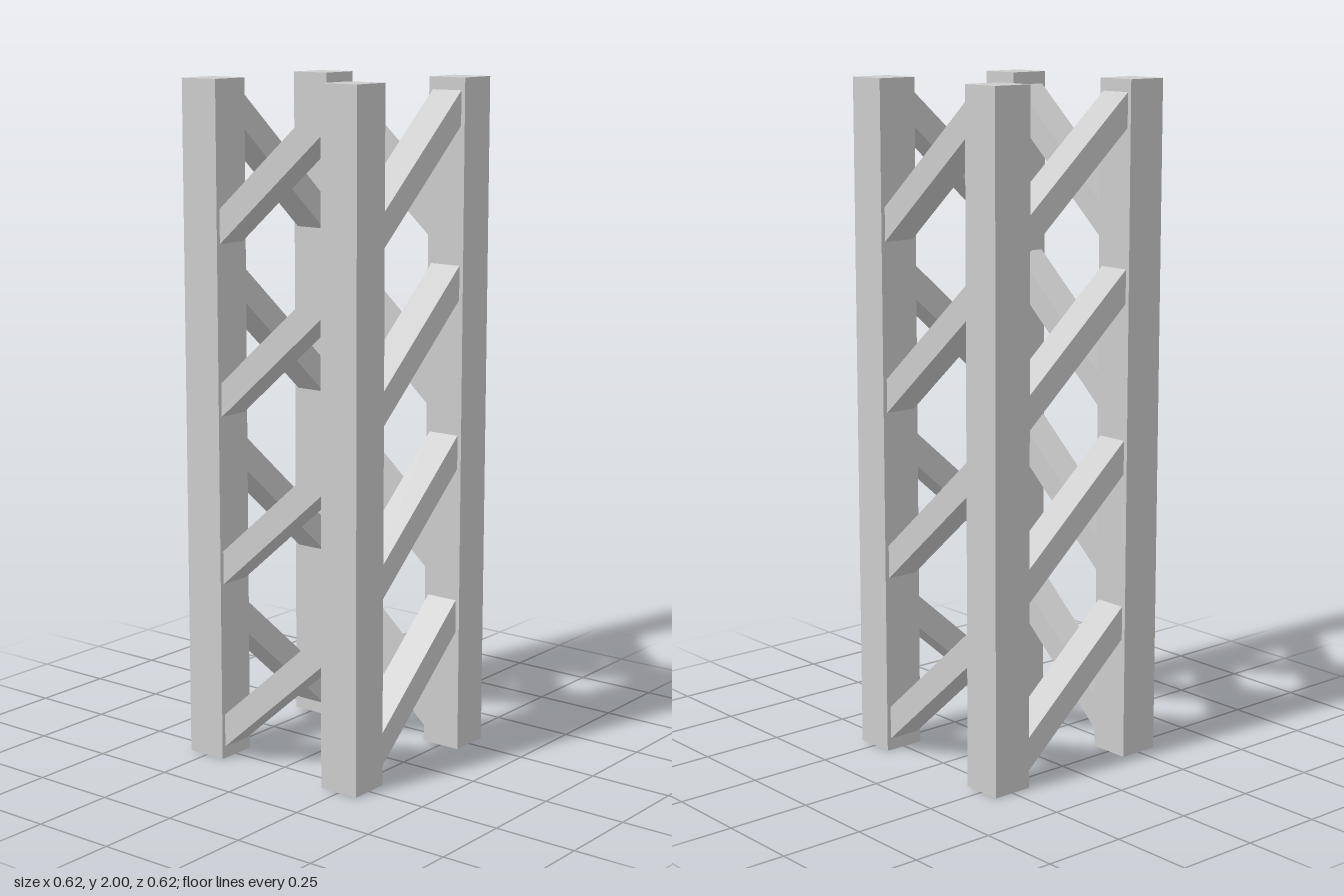
import * as THREE from 'three';

const material = new THREE.MeshStandardMaterial({ color: 0xcccccc, flatShading: true });

function box(name, w, h, d, x, y, z) {
  const mesh = new THREE.Mesh(new THREE.BoxGeometry(w, h, d), material);
  mesh.name = name;
  mesh.position.set(x, y, z);
  return mesh;
}

export function createModel() {
  const tower = new THREE.Group();
  tower.name = 'latticeTower';

  const offset = 0.25; // post centre from the axis
  const bays = 4;
  const bayHeight = 2 / bays;
  const braceAngle = Math.atan(0.875);

  // Four identical sides, each a quarter turn from the last
  ['front', 'left', 'back', 'right'].forEach((sideName, i) => {
    const side = new THREE.Group();
    side.name = sideName + 'Side';
    side.rotation.y = i * Math.PI / 2;

    // Corner post
    side.add(box('cornerPost', 0.125, 2, 0.125, offset, 1, offset));

    // One rising diagonal brace per bay, its ends buried in the posts
    for (let k = 0; k < bays; k++) {
      const brace = box('diagonalBrace', 0.6, 0.075, 0.1, 0, (k + 0.5) * bayHeight, offset);
      brace.rotation.z = braceAngle;
      side.add(brace);
    }
    tower.add(side);
  });

  return tower;
}
